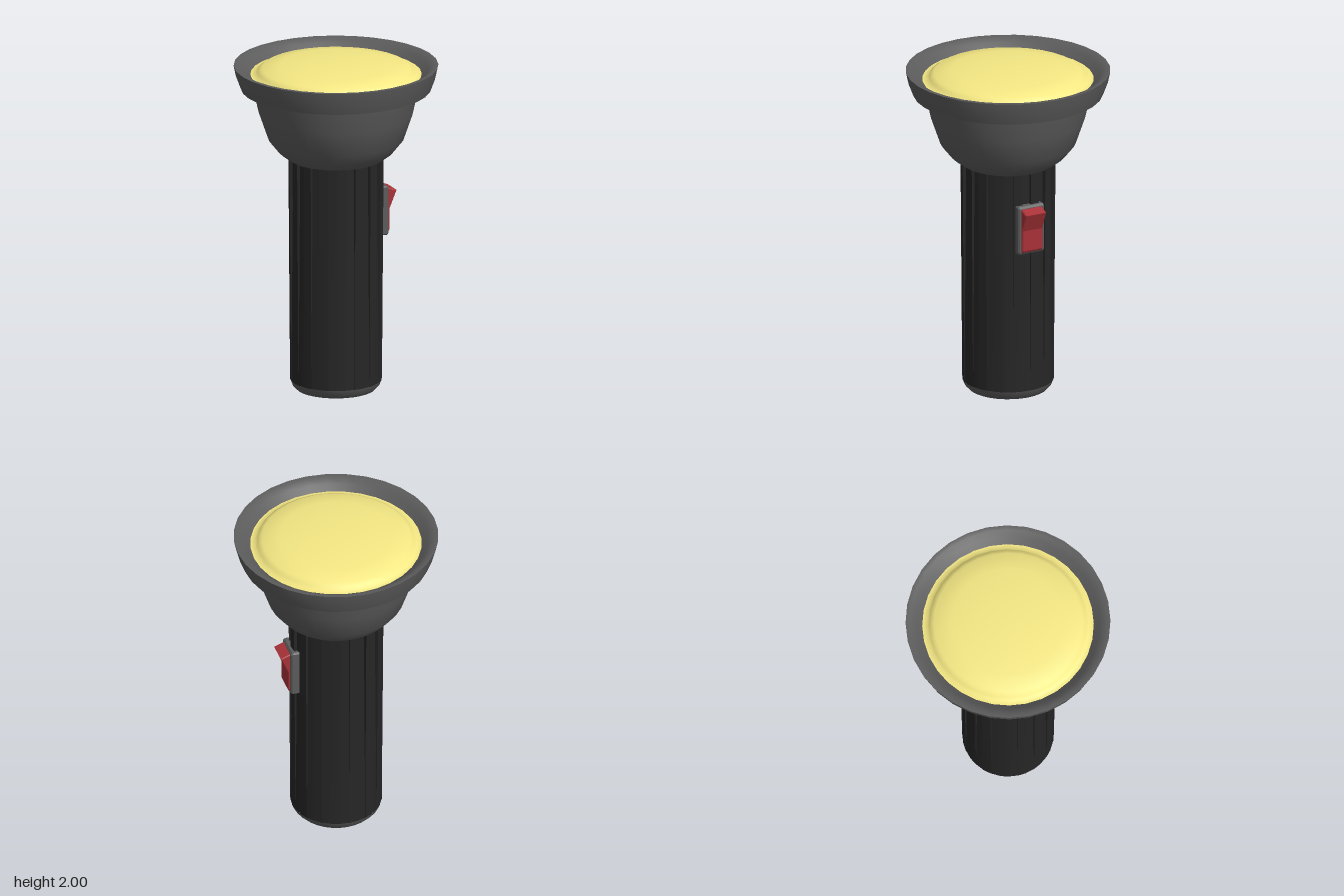
import * as THREE from 'three';
import { toCreasedNormals } from 'three/addons/utils/BufferGeometryUtils.js';

const SIDES = 32;
const paint = (color) => new THREE.MeshStandardMaterial({ color });

function add(parent, name, geometry, material, crease = 0.65) {
  const mesh = new THREE.Mesh(toCreasedNormals(geometry, crease), material);
  mesh.name = name;
  parent.add(mesh);
  return mesh;
}

const lathe = (profile) =>
  new THREE.LatheGeometry(profile.map(([r, y]) => new THREE.Vector2(r, y)), SIDES);

// Grip sleeve: every other side is raised, and the ribs fade out towards the bottom
function gripGeometry() {
  const yBottom = 0.065, yTop = 1.43;
  const positions = [], index = [];
  const levels = [
    { y: yBottom, low: 0.269, high: 0.27 },
    { y: yTop, low: 0.258, high: 0.28 },
  ];
  const count = SIDES * 2;
  for (const { y, low, high } of levels) {
    for (let i = 0; i < SIDES; i++) {
      const r = i % 2 ? high : low;
      for (const k of [i, i + 1]) {
        const a = (k / SIDES) * Math.PI * 2;
        positions.push(Math.cos(a) * r, y, Math.sin(a) * r);
      }
    }
  }
  for (let i = 0; i < count; i++) {
    const j = (i + 1) % count;
    index.push(i, i + count, j, j, i + count, j + count);
  }
  const geometry = new THREE.BufferGeometry();
  geometry.setAttribute('position', new THREE.Float32BufferAttribute(positions, 3));
  geometry.setIndex(index);
  return geometry;
}

// Bevelled slab whose outline lies in x-y, centred on z = 0
function slab(outline, halfWidth, bevel) {
  const shape = new THREE.Shape(outline.map(([x, y]) => new THREE.Vector2(x, y)));
  const depth = 2 * (halfWidth - bevel);
  const geometry = new THREE.ExtrudeGeometry(shape, {
    depth, bevelEnabled: true, bevelThickness: bevel, bevelSize: bevel,
    bevelOffset: -bevel, bevelSegments: 1,
  });
  return geometry.translate(0, 0, -depth / 2);
}

export function createModel() {
  const model = new THREE.Group();
  model.name = 'flashlight';
  const grey = paint(0x5c5c5c);
  const black = paint(0x262626);
  const yellow = paint(0xf5e884);
  const red = paint(0xa83238);

  // Reflector bowl with flared rim
  add(model, 'head', lathe([
    [0.2, 1.41], [0.28, 1.42], [0.34, 1.465], [0.4, 1.54], [0.455, 1.7], [0.487, 1.845],
    [0.56, 1.845], [0.588, 1.92], [0.602, 1.985], [0.575, 1.984], [0.54, 1.96], [0.498, 1.925],
  ]), grey);

  // Domed lens with a narrow flat border
  add(model, 'lens', lathe([
    [0.505, 1.93], [0.475, 1.93], [0.462, 1.95], [0.435, 1.967],
    [0.33, 1.985], [0.17, 1.996], [0, 2],
  ]), yellow, 1);

  add(model, 'grip', gripGeometry(), black, 0.3);

  // Rounded end cap with a shallow recess underneath
  add(model, 'endCap', lathe([
    [0, 0.06], [0.13, 0.055], [0.165, 0.03], [0.18, 0.005], [0.2, 0],
    [0.235, 0.01], [0.258, 0.035], [0.27, 0.066],
  ]), grey);

  // Switch on the left side
  const powerSwitch = new THREE.Group();
  powerSwitch.name = 'switch';
  powerSwitch.position.z = 0.008;
  model.add(powerSwitch);
  add(powerSwitch, 'switchPlate',
    slab([[0.24, 0.932], [0.29, 0.932], [0.3, 0.945], [0.3, 1.22], [0.29, 1.232], [0.24, 1.232]], 0.087, 0.008), grey, 0.3);
  add(powerSwitch, 'rocker',
    slab([[0.27, 0.948], [0.305, 0.948], [0.312, 0.96], [0.312, 1.085], [0.358, 1.195], [0.3, 1.217], [0.27, 1.217]], 0.069, 0.006), red, 0.3);

  return model;
}
